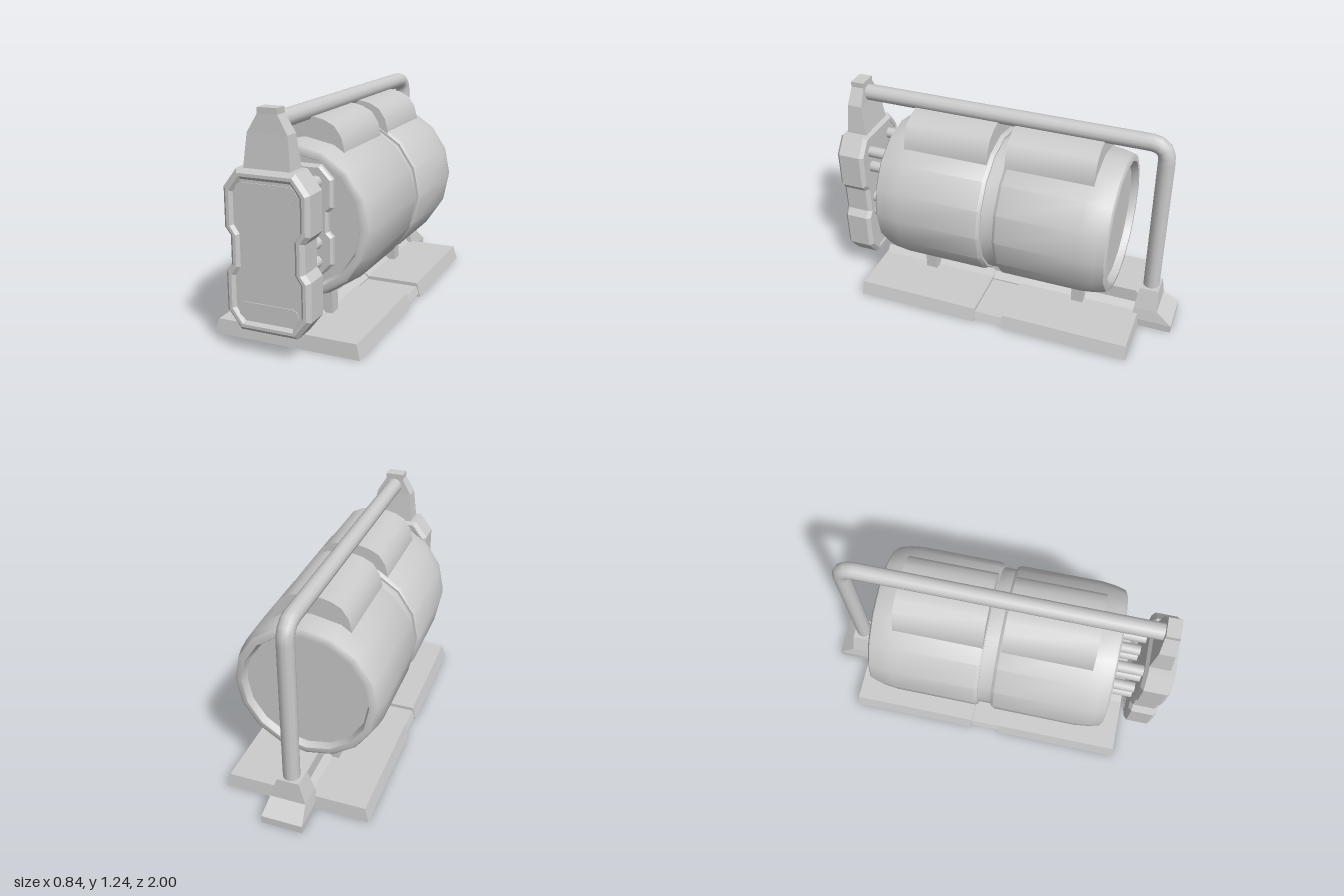
import * as THREE from 'three';
import { toCreasedNormals } from 'three/addons/utils/BufferGeometryUtils.js';

const material = new THREE.MeshStandardMaterial({ color: 0xcccccc });

function add(parent, name, geometry, crease = 0.6) {
  const mesh = new THREE.Mesh(crease ? toCreasedNormals(geometry, crease) : geometry, material);
  mesh.name = name;
  parent.add(mesh);
  return mesh;
}

// Stack of rectangles [y, halfWidth, zBack, zFront] joined into a faceted solid
function loft(levels) {
  const rings = levels.map(([y, w, z0, z1]) => [[-w, y, z1], [w, y, z1], [w, y, z0], [-w, y, z0]]);
  const out = [];
  const quad = (a, b, c, d) => out.push(...a, ...b, ...c, ...a, ...c, ...d);
  for (let i = 0; i < rings.length - 1; i++) {
    for (let k = 0; k < 4; k++) {
      const n = (k + 1) % 4;
      quad(rings[i][k], rings[i][n], rings[i + 1][n], rings[i + 1][k]);
    }
  }
  quad(...rings[rings.length - 1]);
  quad(...rings[0].slice().reverse());
  const g = new THREE.BufferGeometry();
  g.setAttribute('position', new THREE.Float32BufferAttribute(out, 3));
  g.computeVertexNormals();
  return g;
}

// Shape mirrored in x from its right half, listed bottom to top
function mirroredShape(half) {
  const left = half.map(([x, y]) => [-x, y]).reverse();
  return new THREE.Shape([...half, ...left].map(([x, y]) => new THREE.Vector2(x, y)));
}

function extrude(shape, z0, z1, bevel = 0, thickness = bevel) {
  const g = new THREE.ExtrudeGeometry(shape, {
    depth: z1 - z0 - 2 * thickness, bevelEnabled: bevel > 0,
    bevelSize: bevel, bevelThickness: thickness, bevelSegments: 1,
  });
  return g.translate(0, 0, z0 + thickness);
}

// Waisted, chamfered panel outline, inset by d
function panelShape(d, cy = 0.54, sx = 1, sy = 1) {
  const upper = [[0.2 - d, 0.08], [0.23 - d, 0.11 + 0.4 * d], [0.23 - d, 0.315 - 0.45 * d], [0.155 - 0.45 * d, 0.41 - d]];
  const lower = upper.map(([x, y]) => [x, -y]).reverse();
  return mirroredShape([...lower, ...upper].map(([x, y]) => [x * sx, cy + y * sy]));
}

export function createModel() {
  const model = new THREE.Group();

  // Barrel with recessed ends and a groove round the middle
  const profile = [
    [0, -0.61], [0.34, -0.61], [0.355, -0.65], [0.38, -0.65], [0.395, -0.64], [0.411, -0.58], [0.42, -0.5],
    [0.42, -0.04], [0.408, -0.022], [0.395, -0.022], [0.395, 0.052], [0.408, 0.052], [0.42, 0.07],
    [0.42, 0.54], [0.411, 0.62], [0.395, 0.68], [0.38, 0.69], [0.355, 0.69], [0.34, 0.65], [0, 0.65],
  ].map(([r, z]) => new THREE.Vector2(r, z));
  const barrel = add(model, 'barrel', new THREE.LatheGeometry(profile, 16));
  barrel.rotation.x = Math.PI / 2;
  barrel.position.y = 0.62;

  // Saddle pads on top of the barrel
  const padShape = mirroredShape([[0.215, 0.9], [0.215, 0.98], [0.198, 1.045], [0.16, 1.1], [0.105, 1.128], [0.05, 1.14]]);
  for (const [z0, z1] of [[0.075, 0.565], [-0.52, -0.025]]) add(model, 'saddlePad', extrude(padShape, z0, z1));

  // Front control panel: bevelled rim, recessed face and two raised strips
  const panel = new THREE.Group();
  panel.name = 'frontPanel';
  model.add(panel);
  const rim = panelShape(0.02);
  rim.holes.push(panelShape(0.036));
  add(panel, 'panelRim', extrude(rim, 0.835, 1, 0.02), 0.3);
  add(panel, 'panelFace', extrude(panelShape(0.03), 0.84, 0.984), 0.3);
  for (const y of [0.842, 0.24]) {
    const strip = mirroredShape([[0.135, y - 0.042], [0.157, y - 0.028], [0.165, y], [0.157, y + 0.028], [0.135, y + 0.042]]);
    add(panel, 'panelStrip', extrude(strip, 0.97, 0.989), 0.3);
  }

  // Mounting plate in the barrel end and the rods that carry the panel
  add(model, 'mountingPlate', extrude(panelShape(0.015, 0.635, 0.88, 0.7), 0.64, 0.685, 0.012), 0.3);
  for (const x of [-0.115, 0.115]) {
    for (const y of [0.84, 0.74, 0.525, 0.425]) {
      const rod = add(model, 'panelRod', new THREE.CylinderGeometry(0.032, 0.032, 0.2, 12));
      rod.rotation.x = Math.PI / 2;
      rod.position.set(x, y, 0.75);
    }
  }

  // Bracket above the panel
  add(model, 'handleBracket', loft([
    [0.92, 0.128, 0.85, 0.972], [1.118, 0.107, 0.872, 0.957], [1.21, 0.053, 0.877, 0.952], [1.24, 0.053, 0.877, 0.952],
  ]), 0);

  // Bent handle pipe
  const v = (y, z) => new THREE.Vector3(0, y, z);
  const path = new THREE.CurvePath();
  path.add(new THREE.LineCurve3(v(1.165, 0.91), v(1.165, -0.75)));
  path.add(new THREE.QuadraticBezierCurve3(v(1.165, -0.75), v(1.165, -0.845), v(1.07, -0.845)));
  path.add(new THREE.LineCurve3(v(1.07, -0.845), v(0.15, -0.845)));
  add(model, 'handlePipe', new THREE.TubeGeometry(path, 72, 0.046, 12), 0);

  // Rear foot of the pipe
  add(model, 'rearFoot', loft([
    [0, 0.115, -1, -0.77], [0.045, 0.115, -1, -0.77], [0.115, 0.1, -0.91, -0.775], [0.235, 0.062, -0.9, -0.79],
  ]), 0);

  // Base: two bevelled plates with a lower strip between them
  add(model, 'basePlate', loft([[0, 0.415, 0.1, 0.83], [0.08, 0.392, 0.1, 0.82]]), 0);
  add(model, 'basePlate', loft([[0, 0.415, -0.81, -0.07], [0.08, 0.392, -0.8, -0.07]]), 0);
  add(model, 'baseStrip', loft([[0.02, 0.405, -0.08, 0.11], [0.06, 0.39, -0.08, 0.11]]), 0);

  // Central rail with a flared foot, dipping at the strip
  const railLevels = (z0, z1, drop, slope) => [
    [0.05, 0.085, z0, z1], [0.08 - drop, 0.085, z0, z1], [0.115 - drop, 0.05, z0, z1],
    [0.155 - drop, 0.05, z0, z1], [0.197 - drop, 0.05, z0 + slope[0], z1 - slope[1]],
  ];
  add(model, 'rail', loft(railLevels(0.1, 0.815, 0, [0, 0.04])), 0);
  add(model, 'rail', loft(railLevels(-0.8, -0.07, 0, [0.03, 0])), 0);
  add(model, 'railDip', loft(railLevels(-0.08, 0.11, 0.012, [0, 0])), 0);

  // Cradle supports under the barrel
  for (const z of [0.49, -0.44]) {
    add(model, 'cradleSupport', new THREE.BoxGeometry(0.25, 0.16, 0.07).translate(0, 0.15, z), 0);
  }

  return model;
}
